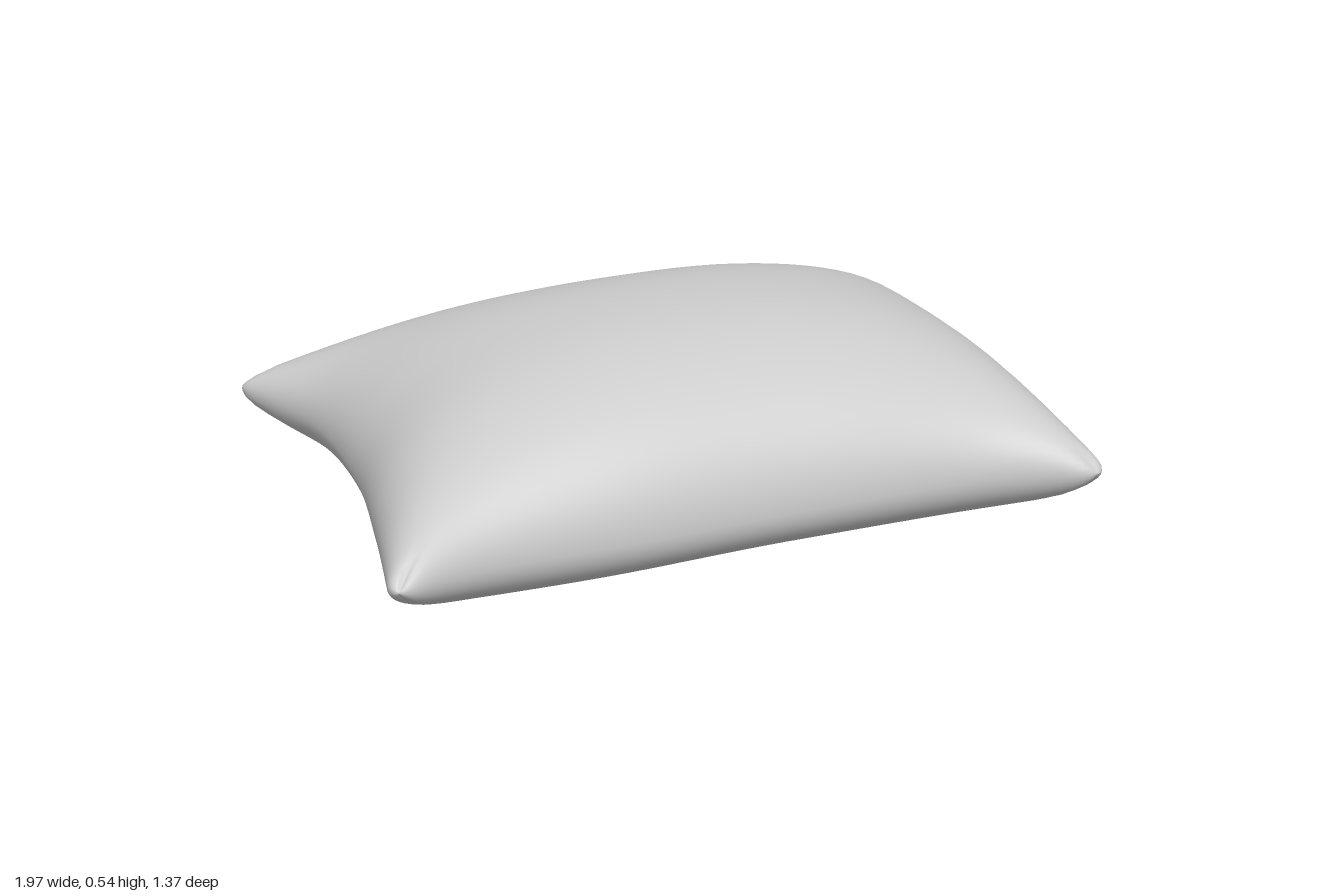
import * as THREE from 'three';
import { mergeVertices } from 'three/addons/utils/BufferGeometryUtils.js';

// Outline corners (x, seam height, z), seen from above
const BL = [-1.01, 0.21, -0.705], BR = [1.01, 0.1, -0.705];
const FL = [-0.96, 0.18, 0.635], FR = [0.895, 0.195, 0.705];

const edge = (...pts) => new THREE.CatmullRomCurve3(pts.map(p => new THREE.Vector3(...p)));
const back = edge(BL, [-0.6, 0.19, -0.657], [-0.2, 0.17, -0.627], [0.2, 0.16, -0.627], [0.62, 0.14, -0.628], BR);
const front = edge(FL, [-0.72, 0.17, 0.56], [-0.3, 0.16, 0.54], [0.15, 0.16, 0.53], [0.64, 0.175, 0.575], FR);
const left = edge(BL, [-0.865, 0.19, -0.44], [-0.835, 0.17, -0.1], [-0.885, 0.17, 0.26], FL);
const right = edge(BR, [0.93, 0.14, -0.4], [0.895, 0.17, -0.18], [0.9, 0.18, 0.2], FR);

// Surface spanned by the four concave edges (s, t from 0 to 1)
function seamPoint(s, t) {
  const f = front.getPointAt(s), b = back.getPointAt(s);
  const l = left.getPointAt(t), r = right.getPointAt(t);
  const mix = (B, F, L, R, bl, br, fl, fr) =>
    (1 - t) * B + t * F + (1 - s) * L + s * R
    - ((1 - s) * (1 - t) * bl + s * (1 - t) * br + (1 - s) * t * fl + s * t * fr);
  return ['x', 'y', 'z'].map((k, i) => mix(b[k], f[k], l[k], r[k], BL[i], BR[i], FL[i], FR[i]));
}

// Rounds the corners of the -1..1 square
function roundCorner(u, v, r = 0.1) {
  const a = Math.abs(u) - 1 + r, b = Math.abs(v) - 1 + r;
  if (a <= 0 || b <= 0) return [u, v];
  const k = Math.max(a, b) / Math.hypot(a, b);
  return [Math.sign(u) * (1 - r + a * k), Math.sign(v) * (1 - r + b * k)];
}

const swell = (u, p, q) => Math.pow(Math.max(0, 1 - Math.pow(Math.abs(u), p)), q);

function createModel() {
  const n = 48, positions = [], index = [];
  // Domed upper sheet and flat-bottomed lower sheet meeting at the seam
  for (const top of [true, false]) {
    const start = positions.length / 3;
    for (let i = 0; i <= n; i++) {
      for (let j = 0; j <= n; j++) {
        const u = Math.sin((i / n - 0.5) * Math.PI), v = Math.sin((j / n - 0.5) * Math.PI);
        const [ru, rv] = roundCorner(u, v);
        const [x, seam, z] = seamPoint((ru + 1) / 2, (rv + 1) / 2);
        const y = top
          ? seam + (0.54 - seam) * swell(u, 2.4, 0.5) * swell(v, 2.3, 0.5)
          : seam * (1 - swell(u, 5, 0.5) * swell(v, 5, 0.5));
        positions.push(x, y, z);
        if (i < n && j < n) {
          const a = start + i * (n + 1) + j, b = a + 1, c = a + n + 1, d = c + 1;
          if (top) index.push(a, b, c, b, d, c);
          else index.push(a, c, b, b, c, d);
        }
      }
    }
  }
  let geometry = new THREE.BufferGeometry();
  geometry.setAttribute('position', new THREE.Float32BufferAttribute(positions, 3));
  geometry.setIndex(index);
  geometry = mergeVertices(geometry, 1e-5);
  geometry.computeVertexNormals();

  const cushion = new THREE.Mesh(geometry, new THREE.MeshStandardMaterial({ color: 0xcccccc }));
  cushion.name = 'cushion';
  const group = new THREE.Group();
  group.name = 'pillow';
  group.add(cushion);
  return group;
}

export { createModel };
